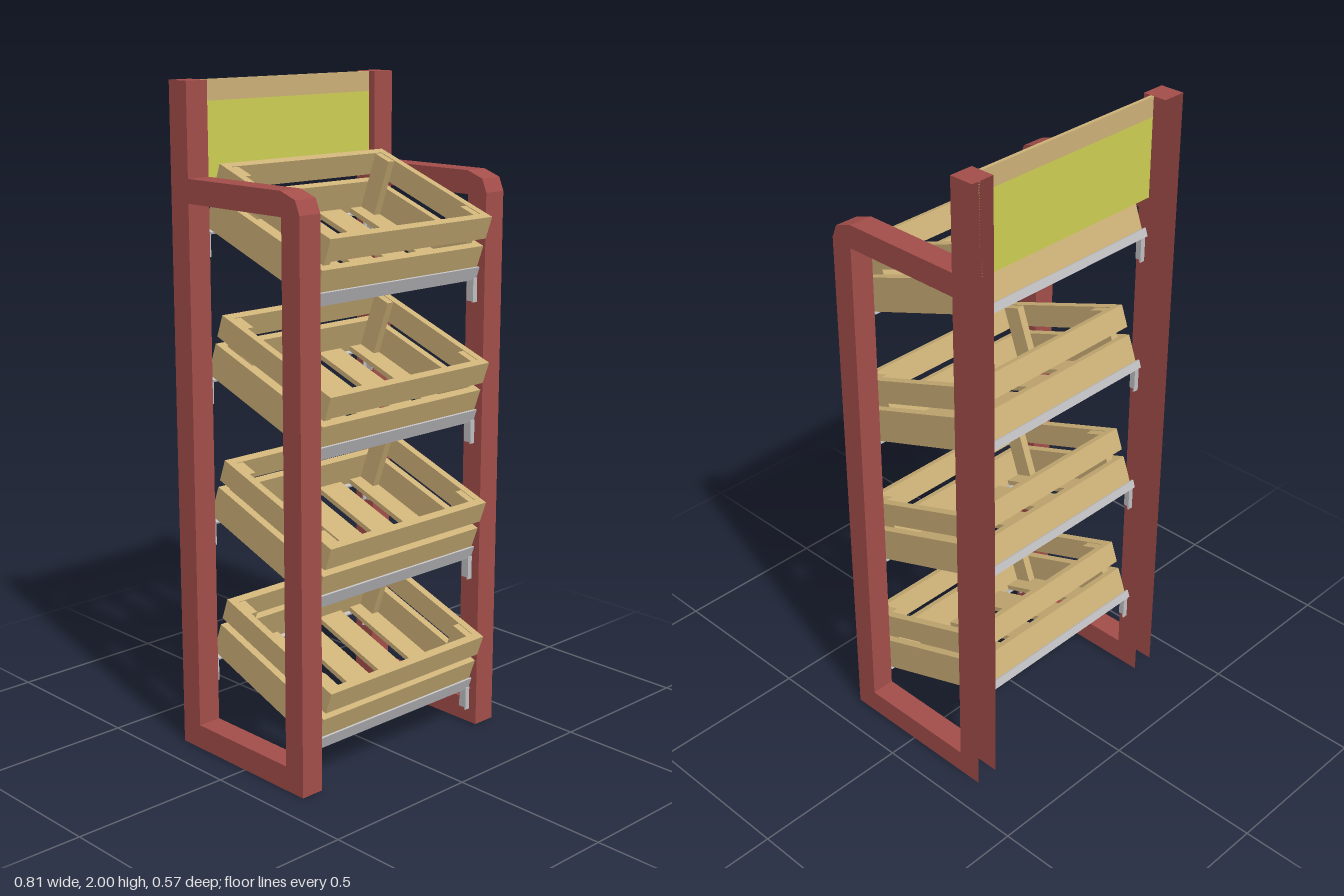
import * as THREE from 'three';

const red = new THREE.MeshStandardMaterial({ color: 0xa44e4a, side: THREE.DoubleSide });
red.name = 'red painted frame';
const wood = new THREE.MeshStandardMaterial({ color: 0xcdb178 });
wood.name = 'pale wood';
const yellow = new THREE.MeshStandardMaterial({ color: 0xcfcf55 });
yellow.name = 'yellow green panel';
const grey = new THREE.MeshStandardMaterial({ color: 0xc0c0c3 });
grey.name = 'grey metal';

const TILT = 0.349, STEP = 0.4333;
const X_IN = 0.33, X_OUT = 0.405;

// Box given by its limits on each axis
function box(parent, name, mat, x0, x1, y0, y1, z0, z1) {
  const mesh = new THREE.Mesh(new THREE.BoxGeometry(x1 - x0, y1 - y0, z1 - z0), mat);
  mesh.position.set((x0 + x1) / 2, (y0 + y1) / 2, (z0 + z1) / 2);
  mesh.name = name;
  parent.add(mesh);
  return mesh;
}

// Flat-sided strip spanning the frame width along a [z, y] path
function strip(path) {
  const pos = [];
  for (let i = 0; i + 1 < path.length; i++) {
    const [za, ya] = path[i], [zb, yb] = path[i + 1];
    pos.push(X_IN, ya, za, X_OUT, ya, za, X_OUT, yb, zb, X_IN, ya, za, X_OUT, yb, zb, X_IN, yb, zb);
  }
  const g = new THREE.BufferGeometry();
  g.setAttribute('position', new THREE.Float32BufferAttribute(pos, 3));
  g.computeVertexNormals();
  return g;
}

// Hollow side frame, open at the back and underneath
function sideFrame(side) {
  const frame = new THREE.Group();
  frame.name = side > 0 ? 'leftFrame' : 'rightFrame';
  const outer = [[0.255, 0], [0.255, 1.67], [0.238, 1.71], [0.18, 1.73], [-0.208, 1.73], [-0.208, 2], [-0.284, 2]];
  const inner = [[0.183, 0.075], [0.183, 1.66], [-0.208, 1.66], [-0.208, 0.075], [0.183, 0.075]];
  const toV = ([z, y]) => new THREE.Vector2(-z, y);
  const shape = new THREE.Shape([...outer, [-0.284, 0]].map(toV));
  shape.holes.push(new THREE.Path(inner.map(toV)));
  const wall = new THREE.ShapeGeometry(shape).rotateY(Math.PI / 2);
  for (const [name, x] of [['frameInnerWall', X_IN], ['frameOuterWall', X_OUT]]) {
    const mesh = new THREE.Mesh(wall, red);
    mesh.name = name;
    mesh.position.x = side * x;
    frame.add(mesh);
  }
  for (const [name, path] of [['frameOuterEdge', outer], ['frameInnerEdge', inner]]) {
    const mesh = new THREE.Mesh(strip(path), red);
    mesh.name = name;
    mesh.position.x = side > 0 ? 0 : -(X_IN + X_OUT);
    frame.add(mesh);
  }
  return frame;
}

// Slatted crate, origin at the centre of its underside
function crate() {
  const g = new THREE.Group();
  g.name = 'crate';
  const W = 0.3225, L = 0.242, T = 0.025;
  for (const [y0, y1] of [[0, 0.101], [0.125, 0.195]]) {
    box(g, 'crateFrontBoard', wood, -W, W, y0, y1, L - T, L);
    box(g, 'crateBackBoard', wood, -W, W, y0, y1, -L, -L + T);
    for (const s of [-1, 1]) {
      const x = s * (W - T / 2);
      box(g, 'crateSideBoard', wood, x - T / 2, x + T / 2, y0, y1, -L + T, L - T);
    }
  }
  for (const s of [-1, 1]) for (const t of [-1, 1]) {
    const x = s * (W - T - 0.0125), z = t * (L - T - 0.03);
    box(g, 'crateCornerPost', wood, x - 0.0125, x + 0.0125, 0.016, 0.193, z - 0.03, z + 0.03);
  }
  for (let i = -2; i <= 2; i++) {
    const x = i * 0.1362, h = 0.0475;
    box(g, 'crateFloorSlat', wood, Math.max(x - h, T - W), Math.min(x + h, W - T), 0.001, 0.016, -L + T, L - T);
  }
  return g;
}

// Front and back angle rails that carry one crate, in the crate's tilt
function rails() {
  const g = new THREE.Group();
  g.name = 'shelfRails';
  const X = 0.329;
  box(g, 'frontRailLip', grey, -X, X, -0.007, 0.034, 0.2435, 0.249);
  box(g, 'frontRailFlange', grey, -X, X, -0.007, -0.001, 0.205, 0.2435);
  box(g, 'backRailLip', grey, -X, X, -0.007, 0.018, -0.249, -0.2435);
  box(g, 'backRailFlange', grey, -X, X, -0.007, -0.001, -0.2435, -0.205);
  return g;
}

export function createModel() {
  const model = new THREE.Group();
  model.name = 'crateDisplayStand';
  model.add(sideFrame(1), sideFrame(-1));

  // Header board
  box(model, 'headerPanel', yellow, -X_IN, X_IN, 1.7, 1.94, -0.243, -0.232);
  box(model, 'headerTopBand', wood, -X_IN, X_IN, 1.94, 2, -0.243, -0.232);

  // Four tilted tiers
  for (let i = 0; i < 4; i++) {
    const tier = new THREE.Group();
    tier.name = 'tier' + (i + 1);
    tier.position.y = i * STEP;
    const tray = new THREE.Group();
    tray.name = 'tray';
    tray.position.set(0, 0.203, -0.01);
    tray.rotation.x = TILT;
    const c = crate();
    c.position.x = 0.0025;
    tray.add(c, rails());
    tier.add(tray);
    // Brackets fixing the rails to the posts
    for (const s of [-1, 1]) {
      const a = Math.min(s * 0.312, s * 0.329), b = Math.max(s * 0.312, s * 0.329);
      box(tier, 'frontBracketFace', grey, a, b, 0.045, 0.118, 0.222, 0.227);
      box(tier, 'backBracketFace', grey, a, b, 0.2, 0.275, -0.238, -0.233);
      const x = s * 0.3265;
      box(tier, 'frontBracketSide', grey, x - 0.0025, x + 0.0025, 0.045, 0.118, 0.19, 0.222);
      box(tier, 'backBracketSide', grey, x - 0.0025, x + 0.0025, 0.2, 0.27, -0.233, -0.21);
    }
    model.add(tier);
  }
  return model;
}
